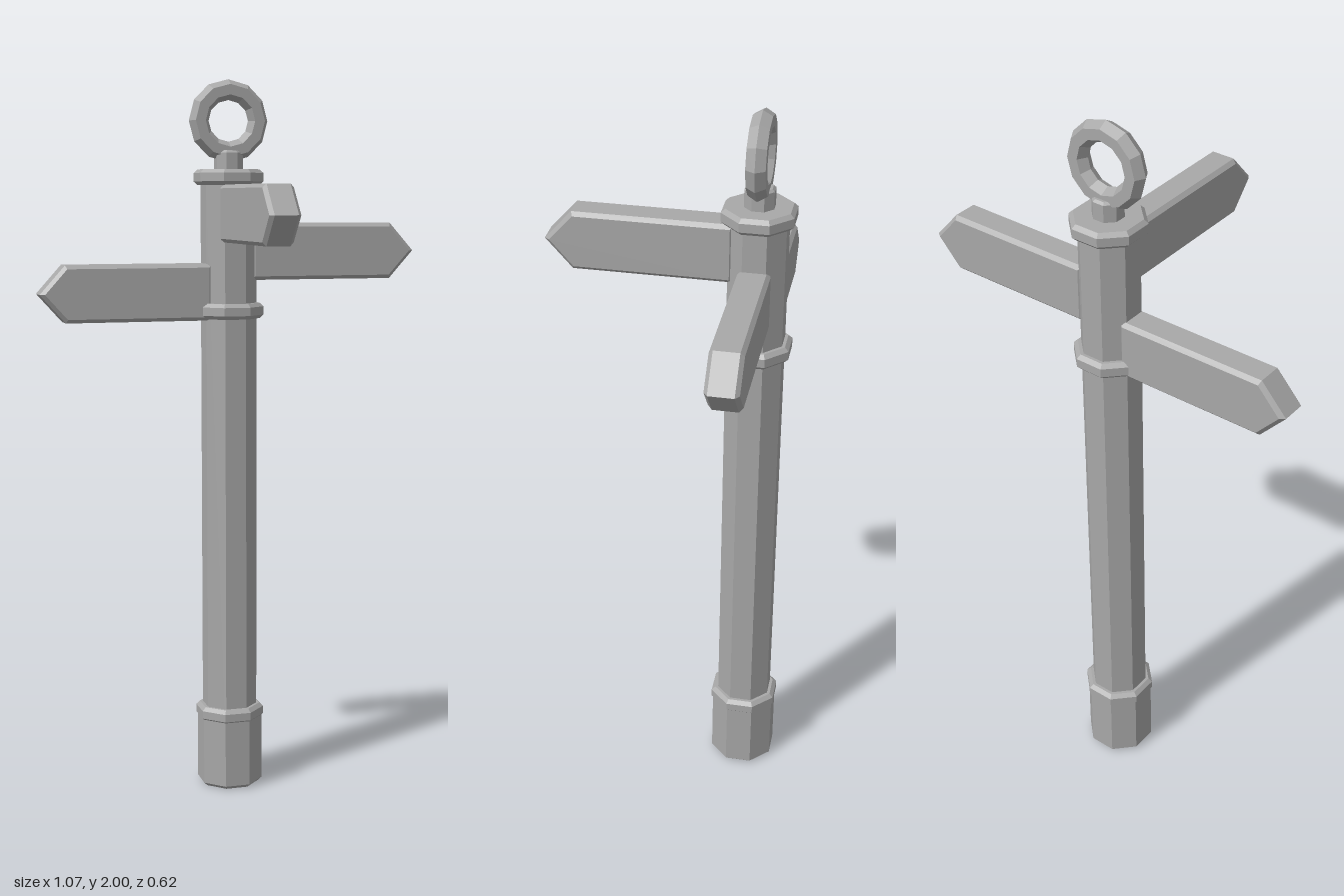
import * as THREE from 'three';

export function createModel() {
  const model = new THREE.Group();
  model.name = 'signpost';
  const stone = new THREE.MeshStandardMaterial({ color: 0xa8a8a8, flatShading: true });
  stone.name = 'stone grey';

  const add = (name, geometry, parent) => {
    const mesh = new THREE.Mesh(geometry, stone);
    mesh.name = name;
    parent.add(mesh);
    return mesh;
  };

  // Everything is arranged around the post axis, which sits towards the back
  const post = new THREE.Group();
  post.name = 'post';
  post.position.z = -0.225;
  model.add(post);

  // Eight-sided column piece with bevelled ends; r is measured to the flats
  const octagon = (name, r, y0, y1, bevel) => {
    const k = 1 / Math.cos(Math.PI / 8);
    const profile = [
      [0, y0], [r - bevel, y0], [r, y0 + bevel],
      [r, y1 - bevel], [r - bevel, y1], [0, y1],
    ].map(([x, y]) => new THREE.Vector2(x * k, y));
    add(name, new THREE.LatheGeometry(profile, 8, Math.PI / 8), post);
  };
  octagon('base', 0.086, 0, 0.215, 0.01);
  octagon('shaft', 0.072, 0.1, 1.74, 0.008);
  octagon('baseCollar', 0.09, 0.193, 0.235, 0.01);
  octagon('middleCollar', 0.09, 1.348, 1.391, 0.01);
  octagon('topCollar', 0.09, 1.714, 1.757, 0.01);
  octagon('neck', 0.037, 1.74, 1.808, 0.006);

  // Ring finial with a hexagonal section
  const ring = add('ring', new THREE.TorusGeometry(0.084, 0.028, 6, 12), post);
  ring.position.y = 1.888;

  // Pointed sign boards with chamfered edges, turned about the post
  const bevel = 0.01, thickness = 0.083, half = 0.078;
  const outline = new THREE.Shape([
    [0.056, -half], [0.465, -half], [0.535, 0], [0.465, half], [0.056, half],
  ].map(([x, y]) => new THREE.Vector2(x, y)));
  const board = new THREE.ExtrudeGeometry(outline, {
    depth: thickness - 2 * bevel,
    bevelThickness: bevel, bevelSize: bevel, bevelOffset: -bevel, bevelSegments: 1,
  });
  board.translate(0, 0, bevel - thickness / 2);
  for (const [name, y, turn] of [
    ['leftSign', 1.532, 0],
    ['rightSign', 1.422, Math.PI],
    ['frontSign', 1.637, -Math.PI / 2],
  ]) {
    const sign = add(name, board, post);
    sign.position.y = y;
    sign.rotation.y = turn;
  }
  return model;
}
